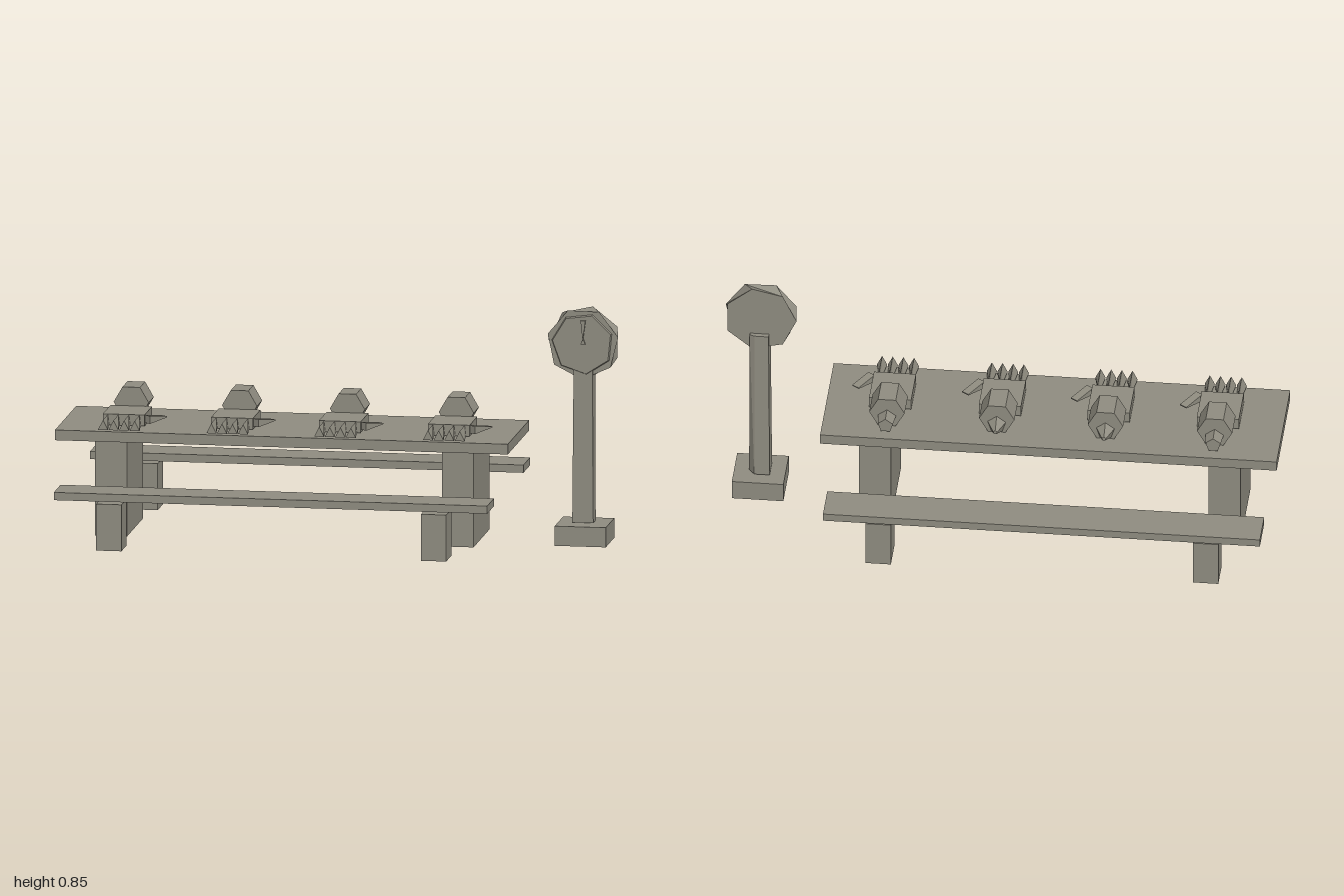
import * as THREE from 'three';

const stone = new THREE.MeshStandardMaterial({ color: 0x8f8c80, flatShading: true });
stone.name = 'warm grey';

function add(parent, name, geometry, x = 0, y = 0, z = 0) {
  const mesh = new THREE.Mesh(geometry, stone);
  mesh.name = name;
  mesh.position.set(x, y, z);
  parent.add(mesh);
  return mesh;
}

// Box given by its limits on each axis
function block(parent, name, [x0, x1], [y0, y1], [z0, z1]) {
  return add(parent, name, new THREE.BoxGeometry(x1 - x0, y1 - y0, z1 - z0),
    (x0 + x1) / 2, (y0 + y1) / 2, (z0 + z1) / 2);
}

// Closed solid between a front outline (at zf) and a back outline (at zb), both counter-clockwise
function loft(front, zf, back, zb) {
  const a = front.map(([x, y]) => [x, y, zf]);
  const b = back.map(([x, y]) => [x, y, zb]);
  const n = a.length, out = [];
  for (let i = 0; i < n; i++) {
    const j = (i + 1) % n;
    out.push(a[i], b[i], b[j], a[i], b[j], a[j]);
    if (i > 0 && i < n - 1) out.push(a[0], a[i], a[j], b[0], b[j], b[i]);
  }
  const g = new THREE.BufferGeometry();
  g.setAttribute('position', new THREE.Float32BufferAttribute(out.flat(), 3));
  g.computeVertexNormals();
  return g;
}

function polygon(sides, radius, start = 0, cx = 0, cy = 0) {
  return Array.from({ length: sides }, (_, i) => {
    const t = start + (i / sides) * Math.PI * 2;
    return [cx + Math.cos(t) * radius, cy + Math.sin(t) * radius];
  });
}

// Severed-hand ornament lying on the table
function makeHand(pointedStub) {
  const hand = new THREE.Group();
  hand.name = 'hand';
  block(hand, 'palm', [-0.075, 0.075], [0.392, 0.432], [-0.04, 0.125]);

  const cuff = polygon(6, 0.063, 0, 0, 0.445);
  add(hand, 'wrist', loft(cuff, -0.038, cuff, -0.148));

  const stubFront = polygon(5, 0.034, Math.PI / 2, 0, 0.423);
  const stubBack = polygon(5, pointedStub ? 0.008 : 0.028, Math.PI / 2, 0, 0.423);
  add(hand, 'wristStub', loft(stubFront, -0.148, stubBack, -0.2));

  // Wedge fingers, narrow at the knuckle
  const tip = [[-0.018, 0.394], [0.018, 0.394], [0, 0.43]];
  const knuckle = [[-0.004, 0.394], [0.004, 0.394], [0, 0.43]];
  for (let i = 0; i < 4; i++) {
    add(hand, 'finger', loft(tip, 0.23, knuckle, 0.122), (i - 1.5) * 0.038);
  }

  // Thumb splayed out to one side
  const root = [[-0.015, -0.014], [0.015, -0.014], [0.015, 0.014], [-0.015, 0.014]];
  const end = root.map(([x, y]) => [x, y * 0.15]);
  const thumb = add(hand, 'thumb', loft(end, 0.043, root, -0.043), 0.108, 0.415, 0.082);
  thumb.rotation.y = Math.atan2(0.05, -0.07);
  return hand;
}

function makeClock() {
  const clock = new THREE.Group();
  clock.name = 'clock';
  block(clock, 'clockBase', [0.776, 0.96], [0, 0.071], [-0.09, 0.093]);

  // Post with one cut corner at the back
  const foot = [[0.83, -0.039], [0.906, -0.039], [0.906, 0.015], [0.885, 0.042], [0.83, 0.042]];
  const top = [[0.835, -0.038], [0.903, -0.038], [0.903, 0.025], [0.885, 0.032], [0.835, 0.032]];
  add(clock, 'clockPost', loft(top, 0.66, foot, 0.076).rotateX(-Math.PI / 2));

  // Twisted seven-sided head
  const cx = 0.867, cy = 0.722;
  add(clock, 'clockHead', loft(polygon(7, 0.13, 0.2, cx, cy), 0.031,
    polygon(7, 0.13, 0.45, cx, cy), -0.014));
  add(clock, 'clockFace', loft(polygon(7, 0.108, 0.35, cx, cy), 0.042,
    polygon(7, 0.112, 0.35, cx, cy), 0.034));

  // Pointers
  add(clock, 'longPointer', loft([[0.87, 0.735], [0.88, 0.808], [0.862, 0.808]], 0.053,
    [[0.87, 0.735], [0.88, 0.808], [0.862, 0.808]], 0.045));
  const short = [[0.861, 0.722], [0.879, 0.722], [0.87, 0.745]];
  add(clock, 'shortPointer', loft(short, 0.05, short, 0.041));
  return clock;
}

export function createModel() {
  const model = new THREE.Group();
  model.name = 'tableWithClock';

  // Table
  block(model, 'tableTop', [-1, 0.63], [0.351, 0.388], [-0.23, 0.228]);
  block(model, 'tableLegRight', [-0.865, -0.75], [0, 0.341], [-0.17, 0.171]);
  block(model, 'tableLegLeft', [0.383, 0.497], [0, 0.341], [-0.17, 0.171]);

  // Benches in front and behind
  for (const s of [1, -1]) {
    const span = (a, b) => (s > 0 ? [a, b] : [-b, -a]);
    block(model, 'benchSeat', [-0.965, 0.595], [0.18, 0.208], span(0.318, 0.463));
    for (const x of [-0.815, 0.354]) {
      block(model, 'benchLeg', [x, x + 0.091], [0, 0.168], span(0.334, 0.449));
    }
  }

  // Row of hands
  [-0.77, -0.38, 0.008, 0.4].forEach((x, i) => {
    const hand = makeHand(i === 1 || i === 2);
    hand.position.x = x;
    model.add(hand);
  });

  model.add(makeClock());
  return model;
}
